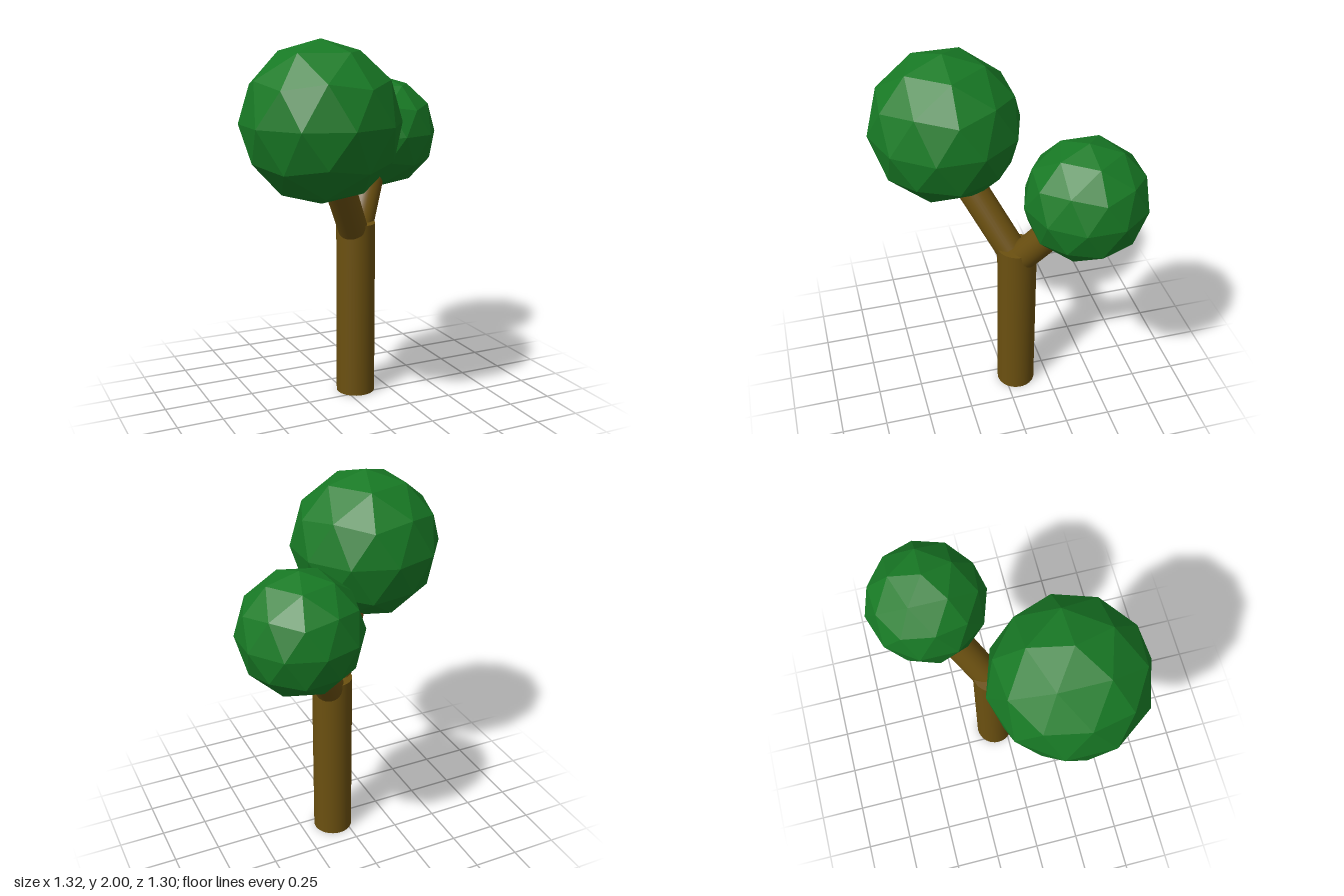
import * as THREE from 'three';

const bark = new THREE.MeshStandardMaterial({ color: 0x6b5010 });
const leaf = new THREE.MeshStandardMaterial({ color: 0x187a25, flatShading: true });

// Round limb between two points
function limb(name, from, to, radius) {
  const a = new THREE.Vector3(...from);
  const b = new THREE.Vector3(...to);
  const dir = b.clone().sub(a);
  const mesh = new THREE.Mesh(new THREE.CylinderGeometry(radius, radius, dir.length(), 32), bark);
  mesh.name = name;
  mesh.position.copy(a).add(b).multiplyScalar(0.5);
  mesh.quaternion.setFromUnitVectors(new THREE.Vector3(0, 1, 0), dir.normalize());
  return mesh;
}

// Faceted leaf ball, turned so a five-sided corner points straight up
function foliage(name, radius, position) {
  const geometry = new THREE.IcosahedronGeometry(radius, 1);
  geometry.rotateZ(-Math.atan(2 / (1 + Math.sqrt(5))));
  const mesh = new THREE.Mesh(geometry, leaf);
  mesh.name = name;
  mesh.position.set(...position);
  return mesh;
}

export function createModel() {
  const tree = new THREE.Group();
  tree.name = 'tree';
  tree.add(
    limb('trunk', [0.067, 0, -0.067], [0.067, 0.985, -0.067], 0.108),
    // Branches fork diagonally and end inside the foliage
    limb('largeBranch', [0.033, 0.963, -0.033], [-0.173, 1.345, 0.173], 0.082),
    limb('smallBranch', [0.094, 0.94, -0.097], [0.288, 1.3, -0.291], 0.082),
    foliage('largeFoliage', 0.41, [-0.27, 1.59, 0.237]),
    foliage('smallFoliage', 0.319, [0.355, 1.443, -0.335])
  );
  return tree;
}
